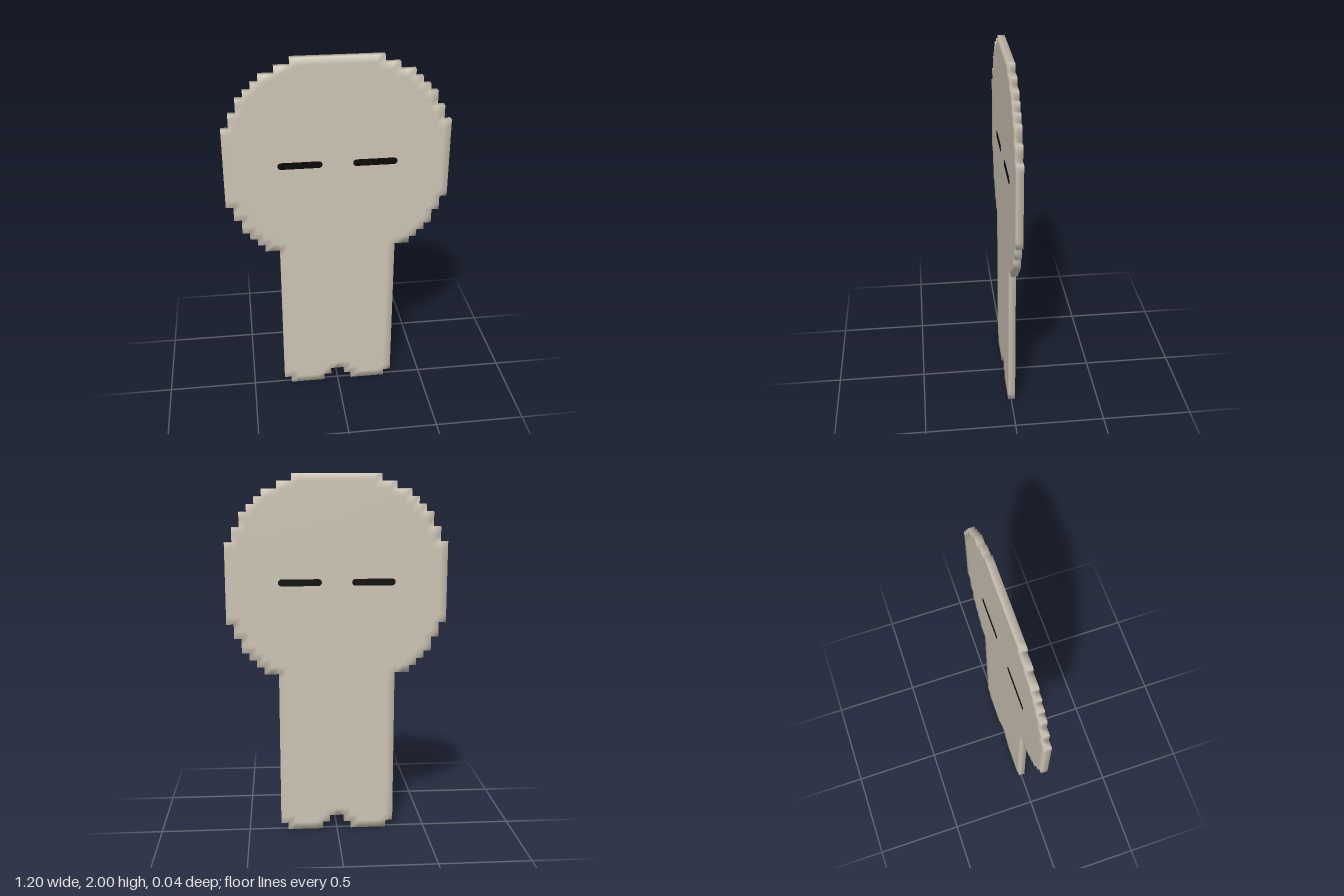
import * as THREE from 'three';

const CELL = 0.04, HALF_DEPTH = 0.018, ROWS = 50, COLS = 15;

// Outline from the top down: [half width in cells, number of rows]
const PROFILE = [[6, 1], [8, 1], [10, 1], [11, 1], [12, 1], [13, 2], [14, 2], [15, 11],
  [14, 2], [13, 2], [12, 1], [11, 1], [10, 1], [8, 22], [7, 1]];
const halfWidths = PROFILE.flatMap(([w, n]) => Array(n).fill(w)).reverse();

// Whether the cell at column i (-15..14) and row j (0 at the ground) is solid
function solid(i, j) {
  if (j < 0 || j >= ROWS) return false;
  const d = i < 0 ? -i - 1 : i;
  const notch = j === 0 ? 2 : j === 1 ? 1 : 0; // gap between the feet
  return d < halfWidths[j] && d >= notch;
}

// Stepped slab with shared corners, so its rim shades softly
function slabGeometry() {
  const positions = [], indices = [], lookup = new Map();
  const corner = (i, j, s) => {
    const key = `${i},${j},${s}`;
    if (!lookup.has(key)) {
      lookup.set(key, positions.length / 3);
      positions.push(i * CELL, j * CELL, s * HALF_DEPTH);
    }
    return lookup.get(key);
  };
  const quad = (a, b, c, d) => indices.push(a, b, c, a, c, d);
  for (let j = 0; j < ROWS; j++) {
    for (let i = -COLS; i < COLS; i++) {
      if (!solid(i, j)) continue;
      const ring = [[i, j], [i + 1, j], [i + 1, j + 1], [i, j + 1]];
      const front = ring.map(([x, y]) => corner(x, y, 1));
      const back = ring.map(([x, y]) => corner(x, y, -1));
      quad(...front);
      quad(...[...back].reverse());
      // Rim walls only where the neighbouring cell is empty
      [[0, -1], [1, 0], [0, 1], [-1, 0]].forEach(([dx, dy], k) => {
        const n = (k + 1) % 4;
        if (!solid(i + dx, j + dy)) quad(back[k], back[n], front[n], front[k]);
      });
    }
  }
  const geometry = new THREE.BufferGeometry();
  geometry.setAttribute('position', new THREE.Float32BufferAttribute(positions, 3));
  geometry.setIndex(indices);
  geometry.computeVertexNormals();
  return geometry;
}

// Narrow closed eye with rounded ends
function eyeGeometry() {
  const w = 0.118, r = 0.0185;
  const shape = new THREE.Shape();
  shape.absarc(w - r, 0, r, -Math.PI / 2, Math.PI / 2, false);
  shape.absarc(-w + r, 0, r, Math.PI / 2, Math.PI * 1.5, false);
  return new THREE.ExtrudeGeometry(shape, { depth: 0.002, bevelEnabled: false, curveSegments: 6 });
}

export function createModel() {
  const stone = new THREE.MeshStandardMaterial({ color: 0xcdc5b5 });
  stone.name = 'warm grey';
  const black = new THREE.MeshStandardMaterial({ color: 0x0a0a08 });
  black.name = 'black';

  const model = new THREE.Group();
  model.name = 'flatFigure';
  const body = new THREE.Mesh(slabGeometry(), stone);
  body.name = 'body';
  model.add(body);

  // A pair of eyes on each face
  const eye = eyeGeometry();
  for (const face of [1, -1]) {
    for (const side of [1, -1]) {
      const mesh = new THREE.Mesh(eye, black);
      mesh.name = (face > 0 ? 'front' : 'back') + (side > 0 ? 'LeftEye' : 'RightEye');
      mesh.position.set(side * 0.2, 1.424, face * HALF_DEPTH);
      if (face < 0) mesh.rotation.y = Math.PI;
      model.add(mesh);
    }
  }
  return model;
}
